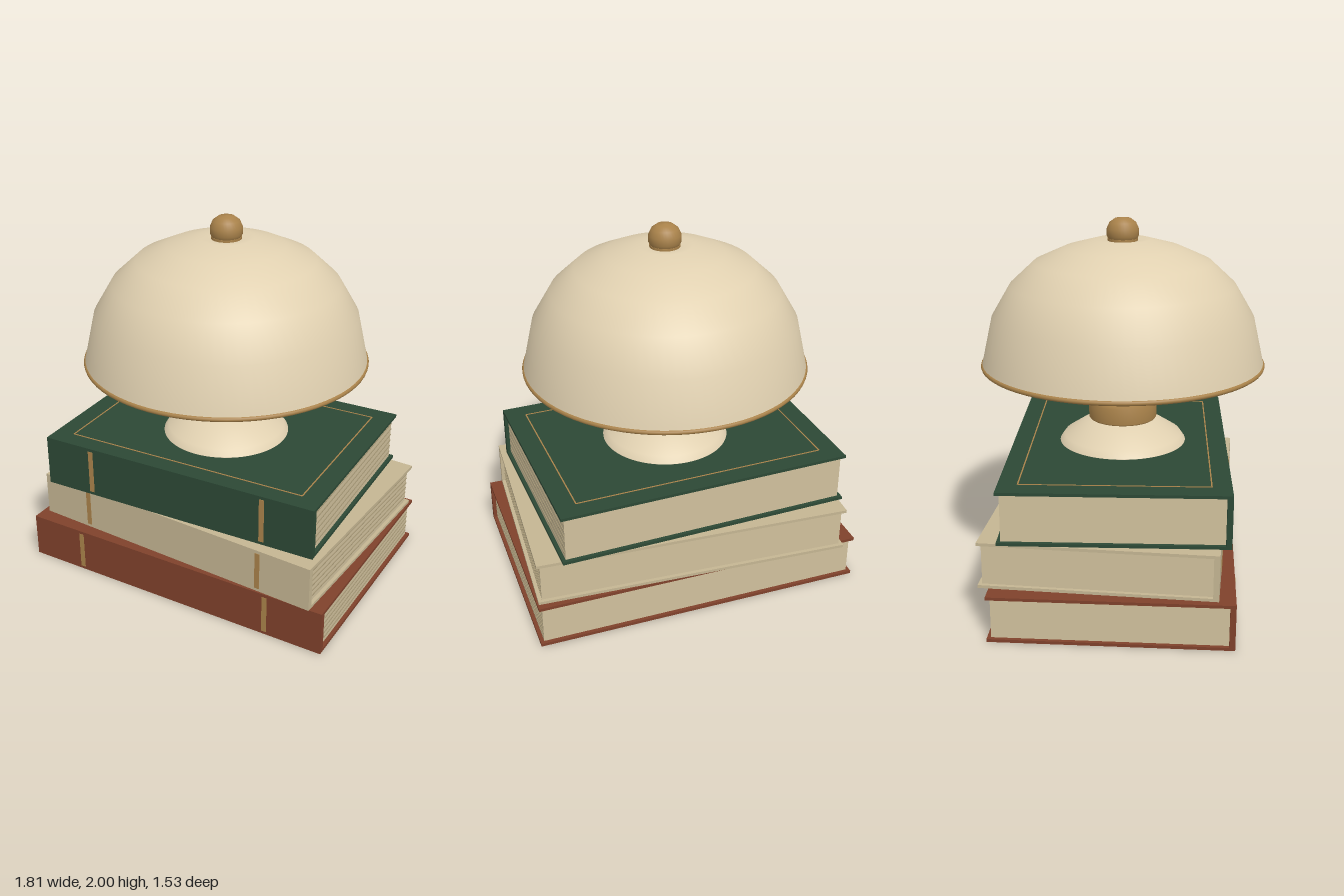
import * as THREE from 'three';

const material = (color, side = THREE.FrontSide) => new THREE.MeshStandardMaterial({ color, side });
const gold = material(0xa9824a);
const paper = material(0xd0c09c);
const pageEdge = material(0xa49674);
const cream = material(0xe0d0b0, THREE.DoubleSide);

function add(parent, name, geometry, mat, x = 0, y = 0, z = 0) {
  const mesh = new THREE.Mesh(geometry, mat);
  mesh.name = name;
  mesh.position.set(x, y, z);
  parent.add(mesh);
  return mesh;
}

function addBox(parent, name, mat, w, h, d, x, y, z) {
  return add(parent, name, new THREE.BoxGeometry(w, h, d), mat, x, y, z);
}

function addLathe(parent, name, points, mat, segments = 64) {
  const profile = points.map(([r, y]) => new THREE.Vector2(r, y));
  return add(parent, name, new THREE.LatheGeometry(profile, segments), mat);
}

// A closed hardback lying flat, spine towards +z
function createBook({ name, w, h, d, color, bandX }) {
  const book = new THREE.Group();
  book.name = name;
  const cover = material(color);
  const board = 0.016, spine = 0.03, inset = 0.02;

  for (const [part, y] of [['bottomCover', board / 2], ['topCover', h - board / 2]])
    addBox(book, part, cover, w, board, d, 0, y, 0);
  addBox(book, 'spine', cover, w, h - 2 * board, spine, 0, h / 2, d / 2 - spine / 2);

  // Page block between the boards
  const pageH = h - 2 * board, pageD = d - spine - inset;
  const pageZ = (inset - spine) / 2;
  addBox(book, 'pages', paper, w - 2 * inset, pageH, pageD, 0, h / 2, pageZ);

  // Raised page lines on the left end
  const lines = 6;
  for (let i = 1; i <= lines; i++) {
    const y = board + pageH * i / (lines + 1);
    addBox(book, 'pageLine', pageEdge, 0.006, 0.004, pageD - 0.02, w / 2 - inset + 0.001, y, pageZ - 0.008);
  }

  // Gilt bands on the spine
  for (const side of [-1, 1])
    addBox(book, 'spineBand', gold, 0.028, h - 0.035, 0.006, side * bandX, h / 2, d / 2);
  return book;
}

// Thin gilt rectangle on a cover
function addCoverFrame(book, w, d, y) {
  const t = 0.007;
  for (const s of [-1, 1]) {
    addBox(book, 'coverFrameLong', gold, w, 0.004, t, 0, y, s * d / 2);
    addBox(book, 'coverFrameShort', gold, t, 0.004, d, s * w / 2, y, 0);
  }
}

function createLamp() {
  const lamp = new THREE.Group();
  lamp.name = 'lamp';

  addLathe(lamp, 'base', [[0, 0.778], [0.345, 0.778], [0.345, 0.779], [0.32, 0.815], [0.18, 0.907], [0, 0.907]], cream);

  // Bevelled collar and stem
  addLathe(lamp, 'collar', [
    [0, 0.905], [0.178, 0.905], [0.185, 0.915], [0.185, 1.0], [0.165, 1.02], [0, 1.02],
  ], gold, 48);
  add(lamp, 'stem', new THREE.CylinderGeometry(0.08, 0.08, 0.87, 32), gold, 0, 1.455, 0);

  // Open dome shade with a gilt rim and a flat diffuser inside
  addLathe(lamp, 'shade', [
    [0.76, 1.215], [0.752, 1.25], [0.7, 1.48], [0.6, 1.65], [0.47, 1.77],
    [0.31, 1.842], [0.145, 1.887], [0.06, 1.875],
  ], cream, 72);
  const rim = add(lamp, 'shadeRim', new THREE.TorusGeometry(0.752, 0.013, 10, 72), gold, 0, 1.22, 0);
  rim.rotation.x = Math.PI / 2;
  add(lamp, 'diffuser', new THREE.CylinderGeometry(0.45, 0.45, 0.012, 64), cream, 0, 1.236, 0);

  // Rounded knob on top
  addLathe(lamp, 'finial', [
    [0, 1.87], [0.07, 1.875], [0.085, 1.905], [0.085, 1.94], [0.07, 1.973], [0.042, 1.994], [0, 2],
  ], gold, 32);
  return lamp;
}

export function createModel() {
  const model = new THREE.Group();
  model.name = 'lampOnBooks';

  const stack = [
    { name: 'bottomBook', w: 1.81, h: 0.248, d: 1.24, color: 0x7f412b, bandX: 0.58, x: 0, z: 0, turn: 0 },
    { name: 'middleBook', w: 1.707, h: 0.247, d: 1.212, color: 0xc4b592, bandX: 0.55, x: 0.0125, z: -0.025, turn: -0.053 },
    { name: 'topBook', w: 1.6, h: 0.283, d: 1.163, color: 0x2c4835, bandX: 0.515, x: -0.015, z: -0.014, turn: 0.033 },
  ];
  let y = 0;
  for (const spec of stack) {
    const book = createBook(spec);
    book.position.set(spec.x, y, spec.z);
    book.rotation.y = spec.turn;
    if (spec.name === 'topBook') addCoverFrame(book, 1.38, 0.96, spec.h);
    model.add(book);
    y += spec.h;
  }

  model.add(createLamp());
  return model;
}
